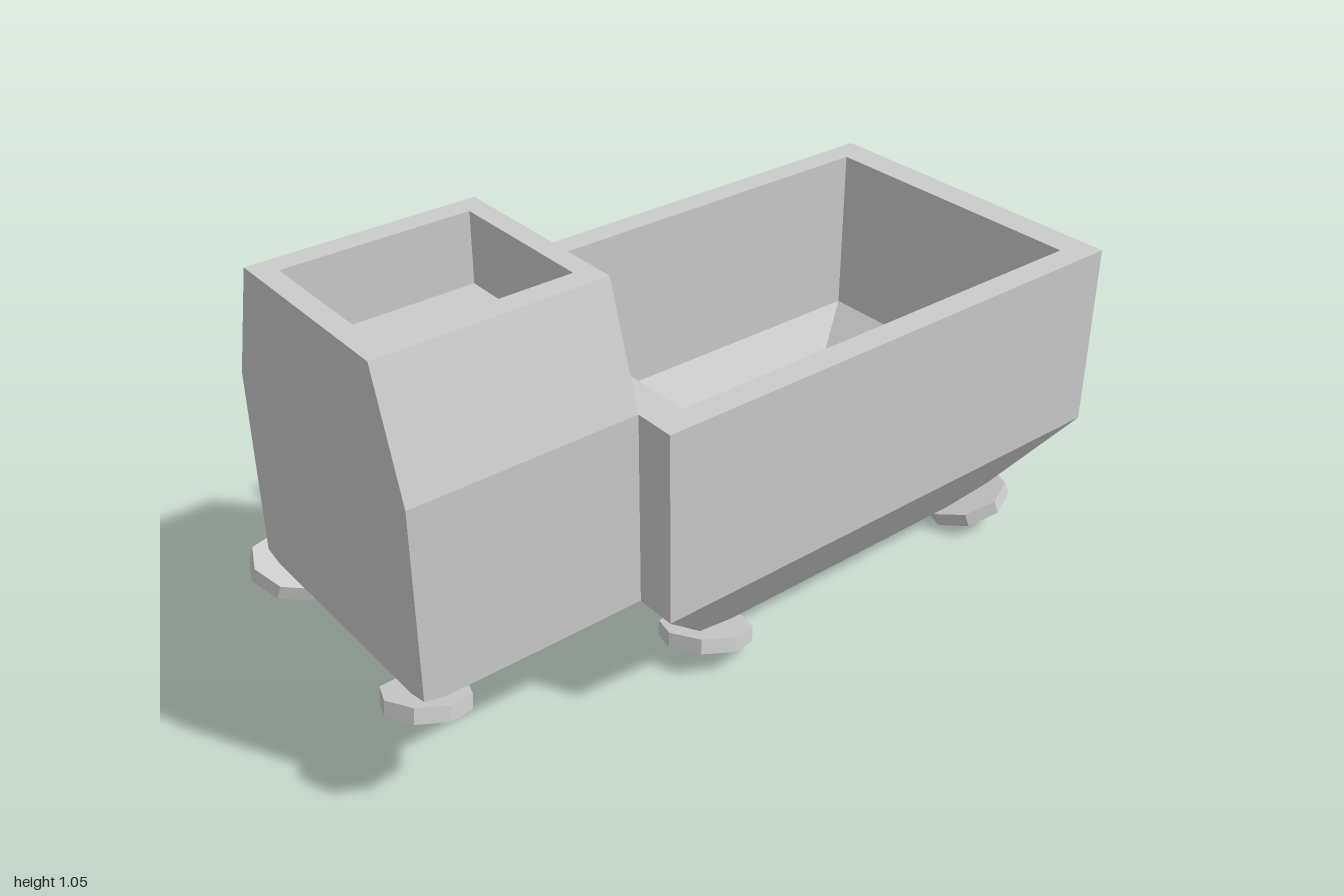
import * as THREE from 'three';

const material = new THREE.MeshStandardMaterial({ color: 0xcccccc, flatShading: true });

// Closed shell through rectangular rings [halfWidth, y, zBack, zFront],
// running from the underside, up the outside, over the rim and down to the inner floor.
function shell(name, rings) {
  const pos = [];
  const corners = rings.map(([x, y, z0, z1]) => [[x, y, z1], [x, y, z0], [-x, y, z0], [-x, y, z1]]);
  const quad = (a, b, c, d) => [a, b, c, a, c, d].forEach((p) => pos.push(...p));
  for (let r = 0; r < corners.length - 1; r++) {
    const a = corners[r], b = corners[r + 1];
    for (let i = 0; i < 4; i++) {
      const j = (i + 1) % 4;
      quad(a[i], a[j], b[j], b[i]);
    }
  }
  quad(...[...corners[0]].reverse());
  quad(...corners[corners.length - 1]);
  const geo = new THREE.BufferGeometry();
  geo.setAttribute('position', new THREE.Float32BufferAttribute(pos, 3));
  geo.computeVertexNormals();
  const mesh = new THREE.Mesh(geo, material);
  mesh.name = name;
  return mesh;
}

export function createModel() {
  const group = new THREE.Group();
  group.name = 'truck';

  // Open cargo hopper with a tapered underside and tapered inner floor
  group.add(shell('cargoHopper', [
    [0.30, 0.06, -0.77, 0.15],
    [0.445, 0.285, -1.0, 0.37],
    [0.445, 0.77, -1.0, 0.37],
    [0.38, 0.77, -0.92, 0.285],
    [0.38, 0.32, -0.92, 0.285],
    [0.24, 0.15, -0.70, 0.07],
  ]));

  // Cab with sloping upper sides and a shallow open top
  group.add(shell('cab', [
    [0.34, 0.285, 0.37, 0.93],
    [0.34, 0.77, 0.37, 0.93],
    [0.25, 1.057, 0.37, 0.93],
    [0.193, 1.057, 0.42, 0.88],
    [0.193, 0.88, 0.42, 0.88],
  ]));

  // Octagonal foot discs, tilted so that the outer corner is raised
  const up = new THREE.Vector3(0, 1, 0);
  const feet = [
    ['cabWheel', 0.293, 0.26, 0.9, 0.099, 1],
    ['hopperFrontWheel', 0.295, 0.058, 0.143, 0.112, 1],
    ['hopperRearWheel', 0.295, 0.058, -0.76, 0.112, -1],
  ];
  for (const [name, x, y, z, radius, dir] of feet) {
    for (const side of [1, -1]) {
      const wheel = new THREE.Mesh(new THREE.CylinderGeometry(radius, radius, 0.036, 8), material);
      const normal = new THREE.Vector3(-0.24 * side, 1, -0.24 * dir).normalize();
      wheel.quaternion.setFromUnitVectors(up, normal);
      wheel.position.set(x * side, y, z);
      wheel.name = (side > 0 ? 'left ' : 'right ') + name;
      group.add(wheel);
    }
  }
  return group;
}
